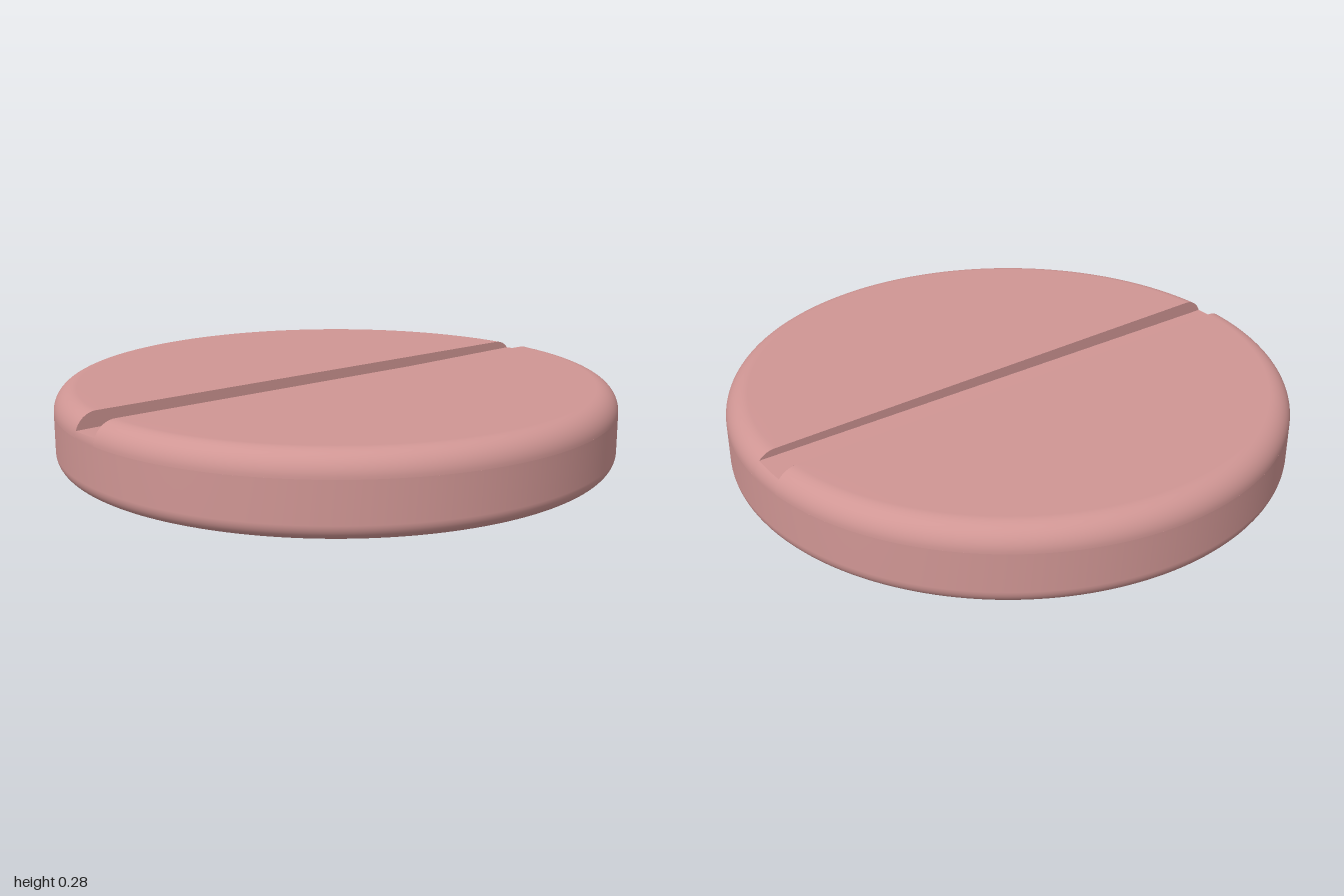
import * as THREE from 'three';

const R = 1, H = 0.275;            // disc radius and height
const F = 0.08, FB = 0.055;        // top and bottom edge rounding
const Z_FRONT = 0.035, Z_BACK = -0.095; // groove walls
const ARC = 14, ROUND = 96;
const { lerp } = THREE.MathUtils;

// Groove floor, slightly tilted
const floorY = (x, z) => 0.235 + 0.0135 * x + 0.04 * z;

// Point on the rounded top edge: a = 0 at the side, PI/2 at the flat top
const edge = (a) => ({ r: R - F + F * Math.cos(a), y: H - F + F * Math.sin(a) });
const floorAngle = (x, z) => Math.asin((floorY(x, z) - (H - F)) / F);

// Surface over a grid of u, v in 0..1; its front is du x dv
function surface(nu, nv, point) {
  const pos = [], index = [];
  for (let j = 0; j <= nv; j++)
    for (let i = 0; i <= nu; i++) pos.push(...point(i / nu, j / nv));
  for (let j = 0; j < nv; j++)
    for (let i = 0; i < nu; i++) {
      const a = j * (nu + 1) + i, b = a + 1, d = a + nu + 1, c = d + 1;
      index.push(a, b, c, a, c, d);
    }
  const g = new THREE.BufferGeometry();
  g.setAttribute('position', new THREE.Float32BufferAttribute(pos, 3));
  g.setIndex(index);
  g.computeVertexNormals();
  return g;
}

// Half of the top, cut straight along the groove at distance d from the centre
function topHalf(s, d) {
  const rows = ARC + 1;
  return surface(ROUND, rows, (u, v) => {
    const row = Math.round(v * rows);
    const { r, y } = edge((Math.min(row, ARC) / ARC) * Math.PI / 2);
    const t0 = Math.asin(d / r), t = lerp(t0, Math.PI - t0, u);
    const z = row > ARC ? d : r * Math.sin(t);
    return [-s * r * Math.cos(t), y, s * z];
  });
}

// Groove wall between the floor and the outline of the top
function grooveWall(z, facing) {
  const n = ARC * 2 + 1;
  return surface(n, 1, (u, v) => {
    const i = Math.round(u * n);
    const side = (i <= ARC ? -1 : 1) * facing;
    const k = (i <= ARC ? i : n - i) / ARC;
    const { r, y } = edge(lerp(floorAngle(side, z), Math.PI / 2, k));
    const x = side * Math.sqrt(r * r - z * z);
    return [x, v ? y : Math.min(y, floorY(x, z)), z];
  });
}

// Rounded rim left below an open end of the groove
function grooveEnd(side) {
  return surface(ARC, 6, (u, v) => {
    const z = side < 0 ? lerp(Z_FRONT, Z_BACK, v) : lerp(Z_BACK, Z_FRONT, v);
    const { r, y } = edge(u * floorAngle(side, z));
    return [side * Math.sqrt(r * r - z * z), y, z];
  });
}

export function createModel() {
  const group = new THREE.Group();
  group.name = 'scoredTablet';
  const material = new THREE.MeshStandardMaterial({ color: 0xd09694, side: THREE.DoubleSide });
  const add = (name, geometry) => {
    const mesh = new THREE.Mesh(geometry, material);
    mesh.name = name;
    group.add(mesh);
  };

  // Underside and side wall
  const profile = [new THREE.Vector2(0, 0), new THREE.Vector2(R - FB - 0.005, 0)];
  for (let i = 0; i <= 10; i++) {
    const a = (i / 10) * Math.PI / 2;
    profile.push(new THREE.Vector2(R - FB + FB * Math.sin(a), FB - FB * Math.cos(a)));
  }
  profile.push(new THREE.Vector2(R, H - F));
  add('sideAndUnderside', new THREE.LatheGeometry(profile, ROUND * 2));

  // Top on both sides of the groove
  add('frontTop', topHalf(1, Z_FRONT));
  add('backTop', topHalf(-1, -Z_BACK));

  // Groove
  add('grooveFrontWall', grooveWall(Z_FRONT, -1));
  add('grooveBackWall', grooveWall(Z_BACK, 1));
  add('grooveLeftEnd', grooveEnd(1));
  add('grooveRightEnd', grooveEnd(-1));
  add('grooveFloor', surface(1, 6, (u, v) => {
    const z = lerp(Z_FRONT, Z_BACK, v), side = u ? 1 : -1;
    const { r, y } = edge(floorAngle(side, z));
    return [side * Math.sqrt(r * r - z * z), y, z];
  }));
  return group;
}
